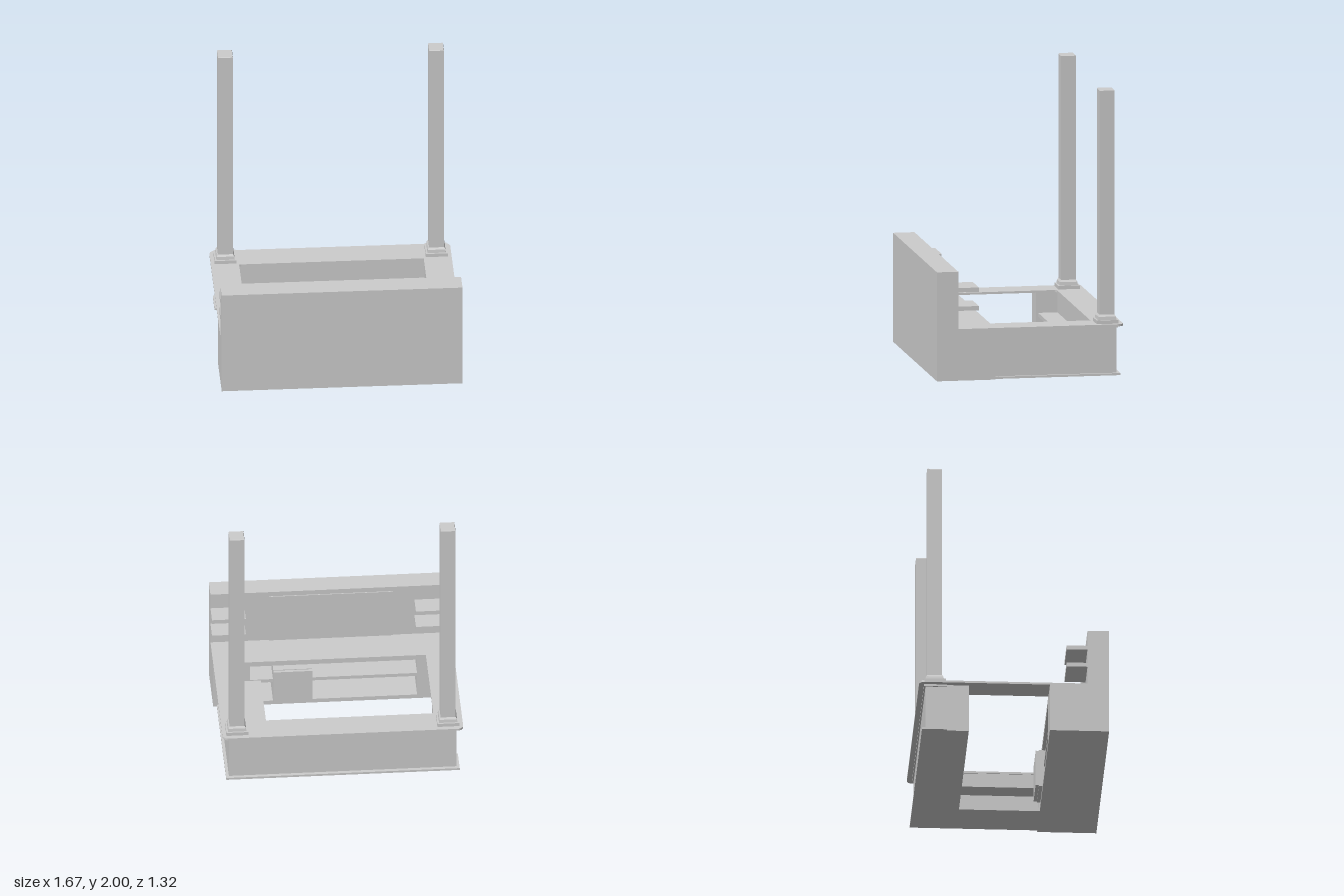
import * as THREE from 'three';

const material = new THREE.MeshStandardMaterial({ color: 0xcccccc, flatShading: true });

export function createModel() {
  const model = new THREE.Group();

  const add = (name, geometry, parent = model) => {
    const mesh = new THREE.Mesh(geometry, material);
    mesh.name = name;
    parent.add(mesh);
    return mesh;
  };

  // Box given by its limits on each axis
  const box = (name, x0, x1, y0, y1, z0, z1, parent) => {
    const g = new THREE.BoxGeometry(x1 - x0, y1 - y0, z1 - z0);
    g.translate((x0 + x1) / 2, (y0 + y1) / 2, (z0 + z1) / 2);
    return add(name, g, parent);
  };

  // Flat plate: an outline in x and z, between two heights
  const plate = (name, shape, y0, y1) => {
    const g = new THREE.ExtrudeGeometry(shape, { depth: y1 - y0, bevelEnabled: false, curveSegments: 6 });
    g.rotateX(Math.PI / 2).translate(0, y1, 0);
    return add(name, g);
  };

  // L-shaped outline along the back and the left side of the bar
  const lShape = (endX, outX, backZ, inX, inZ) => new THREE.Shape([
    [endX, backZ], [outX, backZ], [outX, 0.25], [inX, 0.25], [inX, inZ], [endX, inZ],
  ].map(([x, z]) => new THREE.Vector2(x, z)));

  // Square frustum, for mouldings
  const frustum = (bottom, top, y0, y1) => {
    const g = new THREE.CylinderGeometry(top / Math.SQRT2, bottom / Math.SQRT2, y1 - y0, 4);
    return g.rotateY(Math.PI / 4).translate(0, (y0 + y1) / 2, 0);
  };

  // Counter top: rounded back corners and an open middle
  const top = new THREE.Shape();
  const r = 0.04;
  top.moveTo(-0.835, 0.52);
  top.lineTo(-0.835, -0.655 + r);
  top.absarc(-0.835 + r, -0.655 + r, r, Math.PI, Math.PI * 1.5, false);
  top.lineTo(0.835 - r, -0.655);
  top.absarc(0.835 - r, -0.655 + r, r, -Math.PI / 2, 0, false);
  top.lineTo(0.835, 0.52);
  const opening = new THREE.Path();
  opening.moveTo(-0.64, 0.25);
  opening.lineTo(0.64, 0.25);
  opening.lineTo(0.64, -0.455);
  opening.lineTo(-0.625, -0.455);
  opening.quadraticCurveTo(-0.64, -0.455, -0.64, -0.44);
  top.holes.push(opening);
  plate('counterTop', top, 0.347, 0.362);

  // Counter body, its plinth, moulding and inner shelves
  plate('counterBody', lShape(-0.79, 0.79, -0.61, 0.645, -0.46), 0.012, 0.347);
  plate('counterPlinth', lShape(-0.81, 0.81, -0.635, 0.64, -0.46), 0, 0.015);
  plate('counterMoulding', lShape(-0.8, 0.8, -0.62, 0.645, -0.46), 0.332, 0.347);
  plate('counterFloor', lShape(-0.79, 0.79, -0.61, 0.495, -0.31), 0, 0.03);
  plate('innerShelf', lShape(-0.65, 0.7, -0.5, 0.505, -0.325), 0.18, 0.205);
  box('counterEndPanel', -0.79, -0.64, 0.012, 0.347, -0.61, -0.31);

  // Front wall with a flat panel on its inner face
  box('frontWall', -0.835, 0.835, 0, 0.765, 0.51, 0.66);
  box('wallPanel', -0.43, 0.43, 0.362, 0.73, 0.503, 0.512);

  // Low cabinet behind the wall, with an open niche
  for (const s of [-1, 1]) {
    box('cabinetSide', Math.min(s * 0.58, s * 0.835), Math.max(s * 0.58, s * 0.835), 0, 0.35, 0.25, 0.51);
  }
  box('cabinetFloor', -0.58, 0.58, 0, 0.03, 0.25, 0.51);
  box('cabinetShelf', -0.58, 0.58, 0.18, 0.205, 0.26, 0.51);
  box('cabinetRail', -0.58, 0.58, 0.325, 0.35, 0.25, 0.51);

  // Small cooler standing in the niche
  const cooler = new THREE.Group();
  cooler.name = 'cooler';
  model.add(cooler);
  box('coolerBody', 0.15, 0.42, 0.03, 0.305, 0.225, 0.48, cooler);
  box('coolerDoor', 0.15, 0.42, 0.04, 0.3, 0.203, 0.225, cooler);

  for (const s of [-1, 1]) {
    // Two wall shelves at each end
    for (const y of [0.49, 0.62]) {
      const a = s < 0 ? -0.58 : 0.6;
      box('wallShelf', Math.min(a, s * 0.835), Math.max(a, s * 0.835), y, y + 0.03, 0.365, 0.515);
    }

    // Square post on a stepped foot
    const post = new THREE.Group();
    post.name = s > 0 ? 'leftPost' : 'rightPost';
    post.position.set(s * 0.732, 0, -0.546);
    add('postFoot', frustum(0.152, 0.152, 0.36, 0.387), post);
    add('postFootStep', frustum(0.128, 0.122, 0.387, 0.41), post);
    add('postFootCollar', frustum(0.122, 0.105, 0.41, 0.424), post);
    add('postShaft', frustum(0.104, 0.104, 0.41, 1.995), post);
    add('postCap', frustum(0.104, 0.098, 1.995, 2), post);
    model.add(post);
  }

  return model;
}
